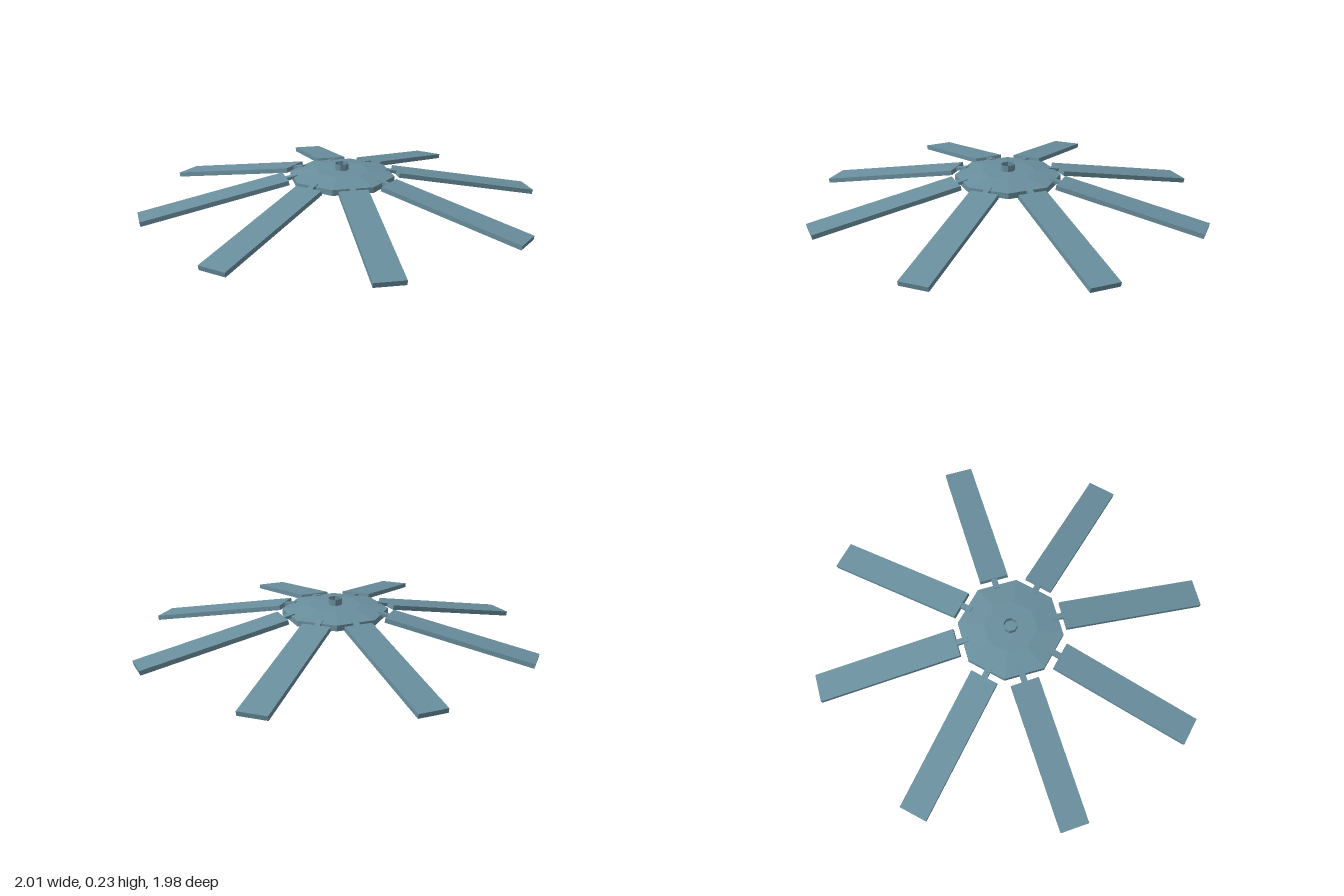
import * as THREE from 'three';

const blue = new THREE.MeshStandardMaterial({ color: 0x6a8f9e, flatShading: true });
const blueOpen = new THREE.MeshStandardMaterial({ color: 0x6a8f9e, flatShading: true, side: THREE.DoubleSide });
const brown = new THREE.MeshStandardMaterial({ color: 0xb0a59c, flatShading: true });

// plan positions of each arm: inner x, z, outer x, z
const ARMS = [
  [0.112, -0.265, 0.406, -0.96],
  [0.258, -0.122, 0.95, -0.42],
  [0.27, 0.1, 0.97, 0.388],
  [0.1, 0.26, 0.38, 0.957],
  [-0.112, 0.252, -0.422, 0.943],
  [-0.272, 0.1, -0.97, 0.398],
  [-0.265, -0.125, -0.975, -0.375],
  [-0.12, -0.268, -0.422, -0.96],
];
const WIDTH = 0.15, THICK = 0.024, INNER_Y = 0.148, TILES = 7;

function box(name, w, h, d, x, y, z, material) {
  const mesh = new THREE.Mesh(new THREE.BoxGeometry(w, h, d), material);
  mesh.name = name;
  mesh.position.set(x, y, z);
  return mesh;
}

function createArm([ix, iz, ox, oz]) {
  const arm = new THREE.Group();
  arm.name = 'arm';
  const run = Math.hypot(ox - ix, oz - iz);
  const length = Math.hypot(run, INNER_Y);
  arm.position.set(ix, INNER_Y, iz);
  arm.rotation.order = 'YZX';
  arm.rotation.set(0, Math.atan2(iz - oz, ox - ix), -Math.atan2(INNER_Y, run));

  // sloping slat with a short hinge reaching into the hub
  arm.add(box('slat', length, THICK, WIDTH, length / 2, THICK / 2, 0, blue));
  arm.add(box('hinge', 0.07, 0.016, 0.03, -0.025, THICK / 2, 0, blue));

  // row of pads under the slat
  const pitch = (length - 0.08) / TILES;
  for (let i = 0; i < TILES; i++) {
    const x = length - 0.015 - pitch * (i + 0.35);
    arm.add(box('pad', pitch * 0.65, 0.004, WIDTH * 0.78, x, 0, 0, brown));
  }
  return arm;
}

export function createModel() {
  const model = new THREE.Group();
  model.name = 'eightArmedHub';

  // shallow octagonal hub
  const profile = [[0, 0.14], [0.275, 0.14], [0.275, 0.17], [0.14, 0.192], [0, 0.195]]
    .map(([r, y]) => new THREE.Vector2(r, y));
  const hub = new THREE.Mesh(new THREE.LatheGeometry(profile, 8), blue);
  hub.name = 'hub';
  hub.position.z = -0.005;
  model.add(hub);

  // open collar on top
  const collar = new THREE.Mesh(new THREE.CylinderGeometry(0.036, 0.036, 0.04, 8, 1, true), blueOpen);
  collar.name = 'collar';
  collar.position.set(0, 0.207, -0.005);
  model.add(collar);

  for (const spec of ARMS) model.add(createArm(spec));
  return model;
}
